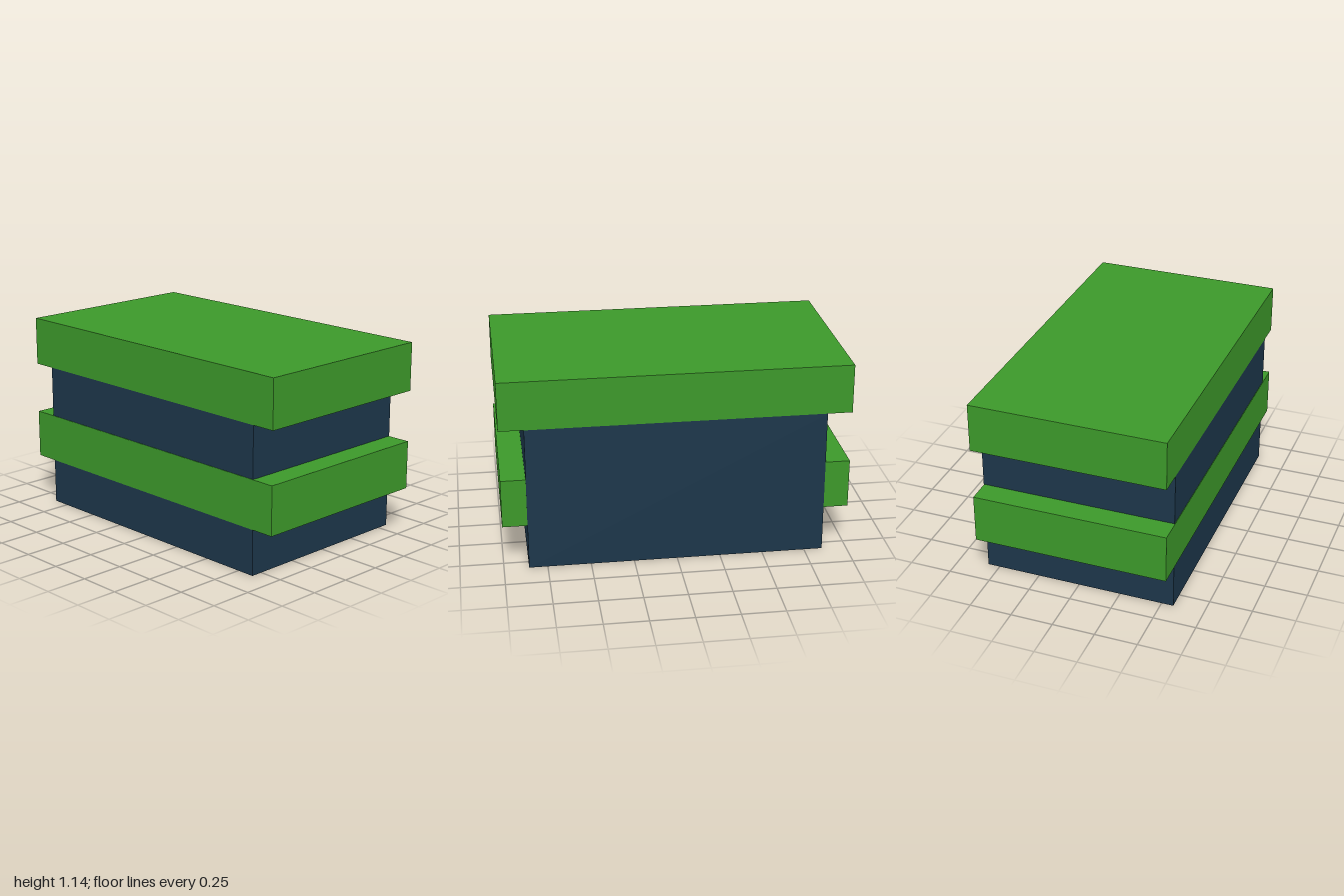
import * as THREE from 'three';

const green = new THREE.MeshStandardMaterial({ color: 0x3c982a });
const navy = new THREE.MeshStandardMaterial({ color: 0x1c364a });

// Box given by its size, x offset and bottom height
function block(name, material, [w, h, d], x, bottom) {
  const mesh = new THREE.Mesh(new THREE.BoxGeometry(w, h, d), material);
  mesh.name = name;
  mesh.position.set(x, bottom + h / 2, 0);
  return mesh;
}

export function createModel() {
  const model = new THREE.Group();
  model.name = 'bandedBlock';
  const width = 1.141;
  const slab = [width, 0.286, 2];

  // Dark core, capped by a longer slab
  model.add(block('body', navy, [width, 0.857, 1.714], 0.001, 0));
  model.add(block('topSlab', green, slab, 0.001, 0.857));

  // Middle band, set slightly to one side so it shows on that face only
  model.add(block('middleSlab', green, slab, -0.002, 0.268));

  return model;
}
